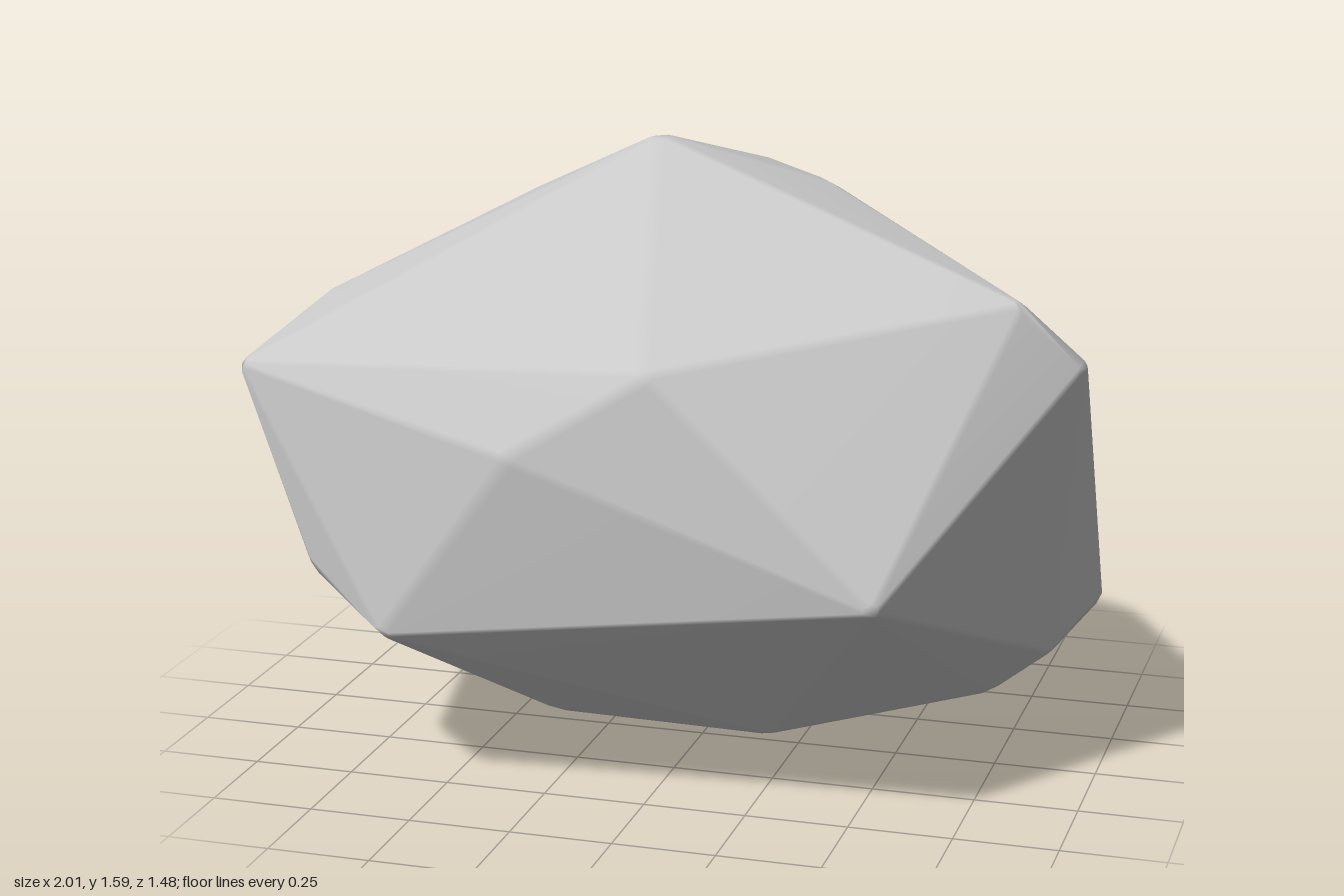
import * as THREE from 'three';
import { ConvexGeometry } from 'three/addons/geometries/ConvexGeometry.js';
import { mergeVertices } from 'three/addons/utils/BufferGeometryUtils.js';

// Main corners of the boulder
const corners = [
  // crown
  [0, 1.595, 0.35], [0.35, 1.46, 0.12], [0.17, 1.485, 0], [-0.31, 1.445, 0.23],
  // shoulders
  [0.87, 1.26, 0.41], [1.004, 1.12, 0.34], [-0.89, 1.14, 0.25], [-1.005, 1.02, 0.51],
  // front
  [0.07, 1.11, 0.715], [-0.25, 0.9, 0.738], [0.6, 0.6, 0.71], [-0.6, 0.42, 0.66], [-0.8, 0.55, 0.59],
  // back
  [0.67, 0.86, -0.6], [0.47, 0.9, -0.69], [0.2, 0.94, -0.705], [-0.21, 0.7, -0.745], [0, 0.61, -0.715],
  [-0.64, 1.08, -0.52], [-0.6, 1.0, -0.59], [-0.95, 0.72, -0.47], [-1.005, 0.53, -0.4],
  // underside
  [0.98, 0.4, -0.17], [0.88, 0.3, 0], [0.83, 0.26, -0.35], [0.73, 0.17, -0.05], [0.72, 0.17, -0.33],
  [0.25, 0.13, 0.29], [-0.33, 0.095, 0.18], [0.1, -0.005, -0.08], [0, 0.09, -0.44], [-0.73, 0.35, -0.12],
].map((p) => new THREE.Vector3(...p));

// Cut narrow bevels: pull the corners of every face inwards and wrap them again
function bevelHull(points, inset) {
  const pos = new ConvexGeometry(points).attributes.position;
  const out = [];
  for (let i = 0; i < pos.count; i += 3) {
    const tri = [0, 1, 2].map((k) => new THREE.Vector3().fromBufferAttribute(pos, i + k));
    const mid = tri[0].clone().add(tri[1]).add(tri[2]).divideScalar(3);
    for (const v of tri) out.push(v.clone().lerp(mid, Math.min(0.3, inset / mid.distanceTo(v))));
  }
  return new ConvexGeometry(out);
}

export function createModel() {
  const group = new THREE.Group();
  group.name = 'boulder';

  // Shared vertices give area-weighted normals: flat facets with soft ridges
  let geometry = bevelHull(corners, 0.025);
  geometry.deleteAttribute('normal');
  geometry = mergeVertices(geometry, 1e-4);
  geometry.computeVertexNormals();

  // Set it on the ground
  geometry.computeBoundingBox();
  geometry.translate(0, -geometry.boundingBox.min.y, 0);

  const rock = new THREE.Mesh(geometry, new THREE.MeshStandardMaterial({ color: 0xcccccc }));
  rock.name = 'rock';
  group.add(rock);
  return group;
}
